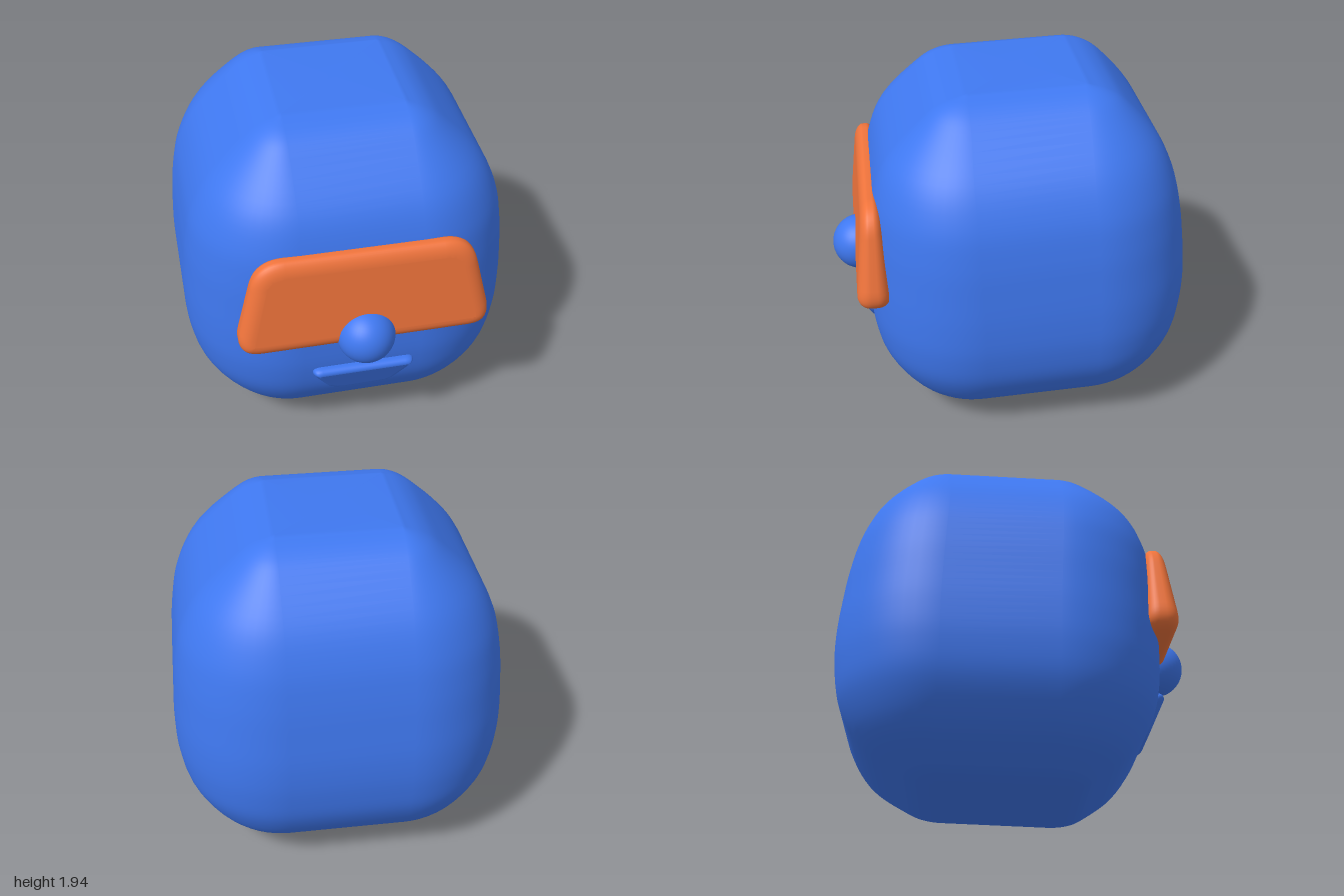
import * as THREE from 'three';
import { mergeVertices } from 'three/addons/utils/BufferGeometryUtils.js';

const blue = new THREE.MeshStandardMaterial({ color: 0x3f78f0 });
const orange = new THREE.MeshStandardMaterial({ color: 0xf0743c });

// Head section at each height: y, half width, front z, back z
const SECTIONS = [
  [0, 0.33, 0.25, -0.45], [0.02, 0.45, 0.36, -0.54], [0.07, 0.56, 0.45, -0.64],
  [0.2, 0.735, 0.61, -0.83], [0.4, 0.865, 0.74, -0.95], [0.6, 0.915, 0.79, -0.99],
  [0.8, 0.925, 0.8, -0.995], [1, 0.915, 0.795, -0.975], [1.2, 0.895, 0.785, -0.945],
  [1.4, 0.85, 0.755, -0.895], [1.6, 0.745, 0.67, -0.8], [1.8, 0.55, 0.48, -0.63],
  [1.88, 0.44, 0.37, -0.52], [1.92, 0.33, 0.23, -0.4],
];

// Loft of rounded rectangles whose corners shrink towards both ends
function headGeometry() {
  const curve = (f) => new THREE.CatmullRomCurve3(SECTIONS.map(f), false, 'catmullrom', 0.5);
  const heights = curve((s) => new THREE.Vector3(s[0], 0, 0));
  const sizes = curve((s) => new THREE.Vector3(s[1], s[2], s[3]));
  const rows = 65, corner = 14, n = 4 * (corner + 1);
  const pos = [], index = [];

  const addRing = (t, spread) => {
    const y = heights.getPoint(t).x;
    const { x: hx, y: zf, z: zb } = sizes.getPoint(t);
    const hz = (zf - zb) / 2, zc = (zf + zb) / 2;
    const ix = Math.min(0.33, hx), iz = Math.min(0.31, hz);
    for (let q = 0; q < 4; q++) {
      const sx = q === 0 || q === 3 ? 1 : -1, sz = q < 2 ? 1 : -1;
      for (let k = 0; k <= corner; k++) {
        const a = (q + k / corner) * Math.PI / 2;
        const x = sx * ix + Math.cos(a) * (hx - ix);
        const z = zc + (sz * iz + Math.sin(a) * (hz - iz)) * spread;
        pos.push(x * spread, y - 0.033 * (z + 0.1) + 0.01, z); // slight tilt
      }
    }
  };
  addRing(0, 0);
  for (let i = 0; i <= rows; i++) addRing(i / rows, 1);
  addRing(1, 0);

  for (let i = 0; i < rows + 2; i++) {
    for (let j = 0; j < n; j++) {
      const a = i * n + j, b = i * n + (j + 1) % n;
      index.push(a, a + n, b, b, a + n, b + n);
    }
  }
  const g = new THREE.BufferGeometry();
  g.setAttribute('position', new THREE.Float32BufferAttribute(pos, 3));
  g.setIndex(index);
  g.computeVertexNormals();
  return g;
}

// Soft-edged trapezoid plate; place(y, z) gives the final z for z in -1..1
function plate(bottom, top, y0, y1, radius, bevel, place) {
  const pts = [[-bottom, y0], [bottom, y0], [top, y1], [-top, y1]].map((p) => new THREE.Vector2(...p));
  const shape = new THREE.Shape();
  pts.forEach((p, i) => {
    const toward = (q) => q.clone().sub(p).setLength(radius).add(p);
    const a = toward(pts[(i + 3) % 4]), b = toward(pts[(i + 1) % 4]);
    if (i === 0) shape.moveTo(a.x, a.y); else shape.lineTo(a.x, a.y);
    shape.quadraticCurveTo(p.x, p.y, b.x, b.y);
  });
  shape.closePath();
  let g = new THREE.ExtrudeGeometry(shape, {
    depth: 0.4, bevelEnabled: true, bevelThickness: 0.8, bevelSize: bevel,
    bevelOffset: -bevel, bevelSegments: 8, curveSegments: 10,
  });
  g.translate(0, 0, -0.2);
  g.deleteAttribute('uv');
  g.deleteAttribute('normal');
  const p = g.attributes.position;
  for (let i = 0; i < p.count; i++) p.setZ(i, place(p.getY(i), p.getZ(i)));
  g = mergeVertices(g, 1e-4);
  g.computeVertexNormals();
  return g;
}

export function createModel() {
  const model = new THREE.Group();
  const add = (name, geometry, material) => {
    const mesh = new THREE.Mesh(geometry, material);
    mesh.name = name;
    model.add(mesh);
    return mesh;
  };

  add('head', headGeometry(), blue);

  // Visor thins towards its top edge
  add('visor', plate(0.715, 0.575, 0.81, 1.385, 0.15, 0.08, (y, z) => {
    const t = (y - 0.81) / 0.575;
    return 0.784 - 0.014 * t + z * (0.098 - 0.045 * t);
  }), orange);

  // Mouth leans back towards its lower edge
  add('mouth', plate(0.18, 0.31, 0.355, 0.6, 0.075, 0.045,
    (y, z) => 0.775 - (0.57 - y) * 0.45 + z * 0.065), blue);

  const nose = add('nose', new THREE.SphereGeometry(0.16, 40, 28), blue);
  nose.position.set(0, 0.857, 0.84);

  return model;
}
